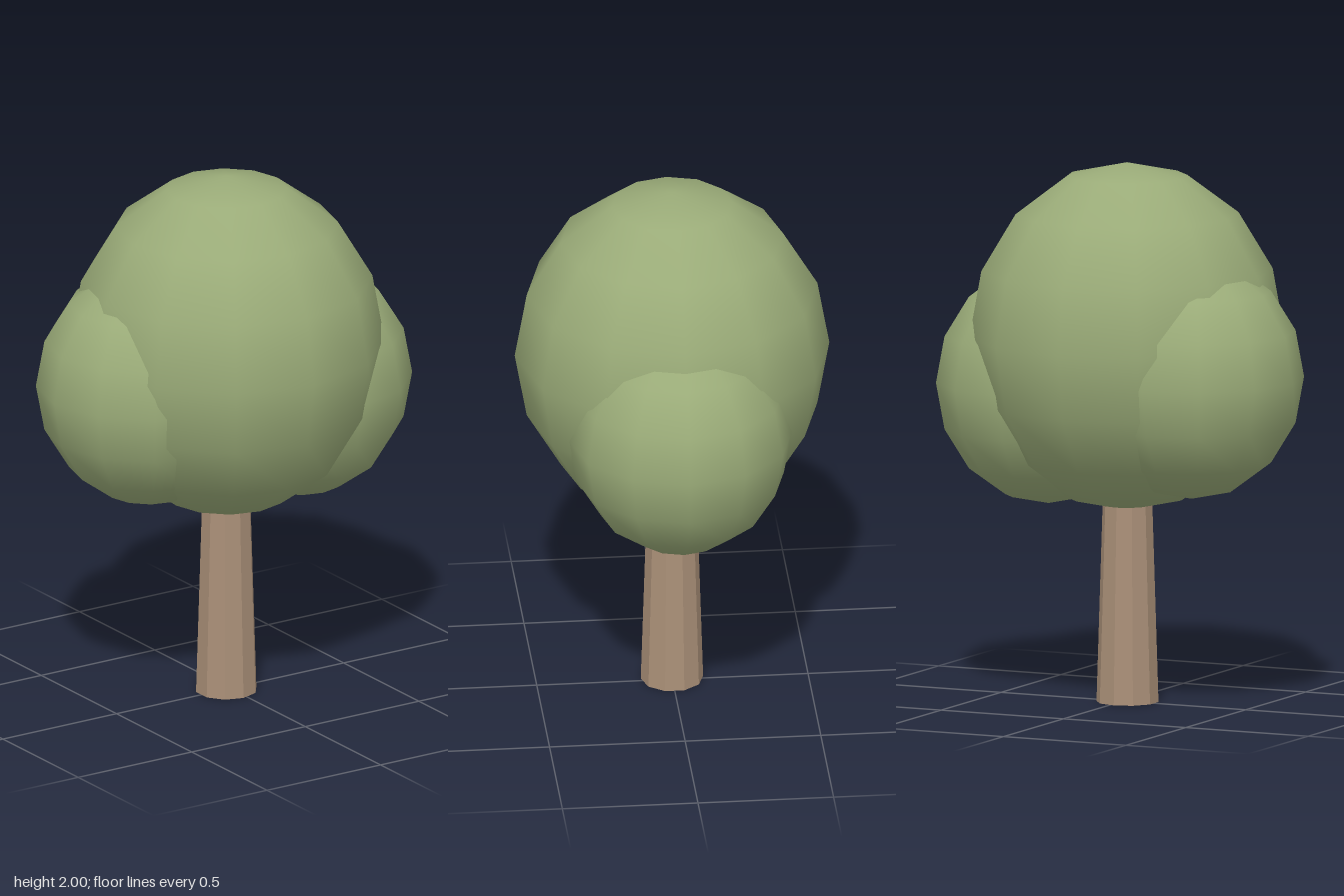
import * as THREE from 'three';

const leafMaterial = new THREE.MeshStandardMaterial({ color: 0x9aab78 });
const barkMaterial = new THREE.MeshStandardMaterial({ color: 0xaa9078, flatShading: true });

// Slightly tall, smooth-shaded low-poly ball of leaves
function foliage(name, radius, height, x, y, z) {
  const mesh = new THREE.Mesh(new THREE.SphereGeometry(radius, 12, 8), leafMaterial);
  mesh.name = name;
  mesh.scale.y = height / radius;
  mesh.position.set(x, y, z);
  return mesh;
}

export function createModel() {
  const tree = new THREE.Group();
  tree.name = 'tree';

  // Ten-sided tapering trunk, reaching into the crown
  const trunk = new THREE.Mesh(new THREE.CylinderGeometry(0.087, 0.115, 0.9, 10), barkMaterial);
  trunk.name = 'trunk';
  trunk.position.set(-0.017, 0.45, 0);
  tree.add(trunk);

  // Large crown with a smaller clump on each side
  tree.add(
    foliage('mainCrown', 0.58, 0.645, -0.015, 1.355, 0),
    foliage('leftClump', 0.414, 0.45, 0.306, 1.165, 0),
    foliage('rightClump', 0.414, 0.45, -0.313, 1.23, -0.07),
  );
  return tree;
}
